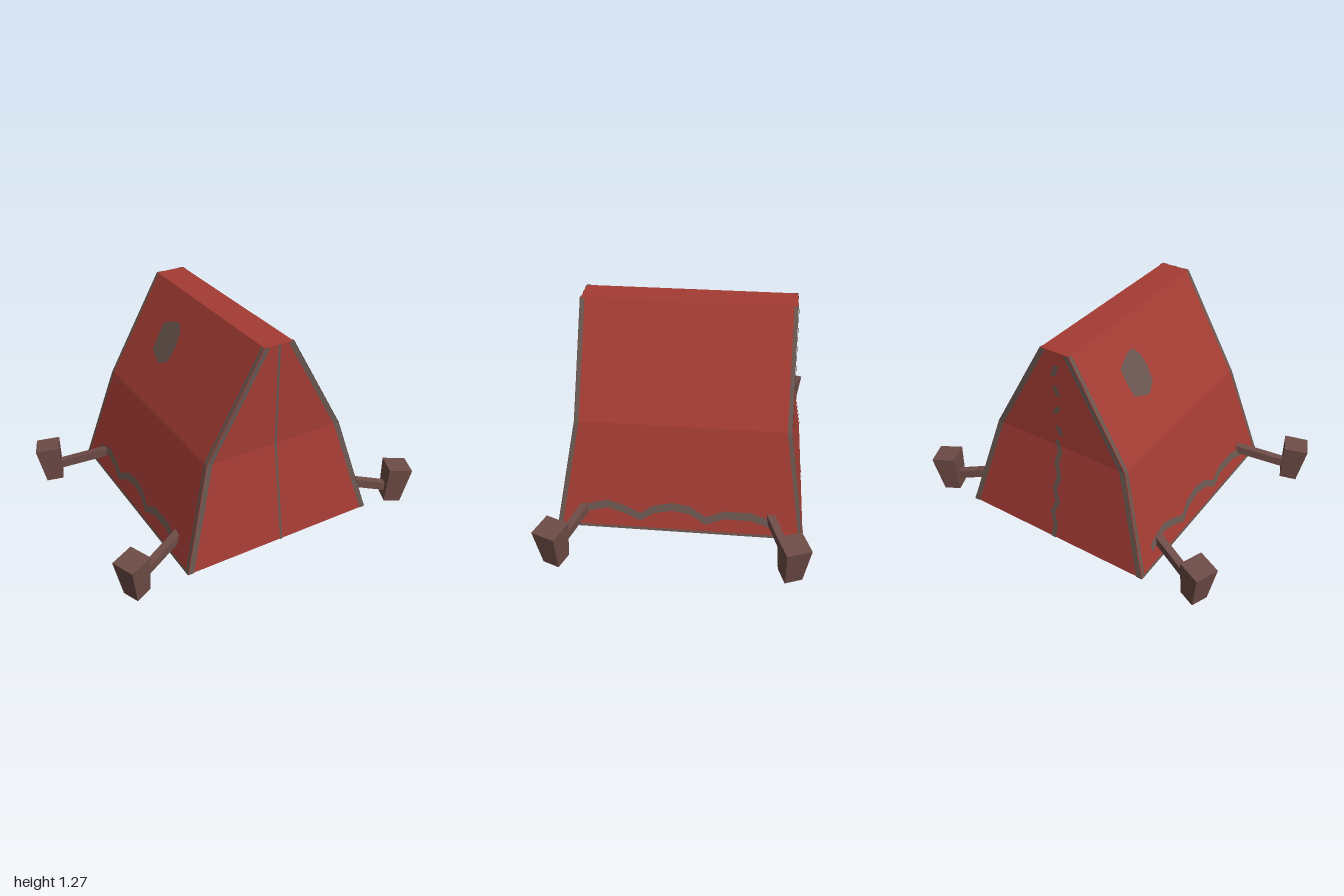
import * as THREE from 'three';

const CX = 0.015, CZ = -0.022;
// Tent cross-sections: height, half width, half depth
const RINGS = [[0.05, 0.615, 0.7125], [0.66, 0.4375, 0.615], [1.27, 0.09, 0.615]];

// Half width (k = 1) or half depth (k = 2) at height y
function half(y, k) {
  const i = y < 0.66 ? 0 : 1;
  const a = RINGS[i], b = RINGS[i + 1];
  return a[k] + (b[k] - a[k]) * (y - a[0]) / (b[0] - a[0]);
}

// Walls map (u along the wall, height, outward offset) to a point
const slope = s => (u, y, off) => [CX + s * (half(y, 1) + off), y, CZ + s * u];
const gable = s => (u, y, off) => [CX + s * u, y, CZ + s * (half(y, 2) + off)];

// Strip of quads between pairs of wall points
function strip(wall, pairs, off) {
  const pos = [];
  for (let i = 0; i + 1 < pairs.length; i++) {
    const [a, b] = pairs[i], [d, c] = pairs[i + 1];
    for (const p of [a, b, c, a, c, d]) pos.push(...wall(p[0], p[1], off));
  }
  const g = new THREE.BufferGeometry();
  g.setAttribute('position', new THREE.Float32BufferAttribute(pos, 3));
  g.computeVertexNormals();
  return g;
}

export function createModel() {
  const model = new THREE.Group();
  model.name = 'tent';
  const both = THREE.DoubleSide;
  const red = new THREE.MeshStandardMaterial({ color: 0xa33b33, side: both });
  red.name = 'red canvas';
  const grey = new THREE.MeshStandardMaterial({ color: 0x69564f, side: both });
  grey.name = 'grey trim';
  const wood = new THREE.MeshStandardMaterial({ color: 0x6e4c47 });
  wood.name = 'brown wood';

  const add = (name, geometry, material, parent = model) => {
    const m = new THREE.Mesh(geometry, material);
    m.name = name;
    parent.add(m);
    return m;
  };
  // Painted detail, seen from outside and inside the canvas
  const paint = (name, wall, pairs) => {
    for (const off of [0.004, -0.004]) add(name, strip(wall, pairs, off), grey);
  };

  // Canvas walls with trimmed edges; the underside is open
  for (const s of [1, -1]) {
    for (const [name, wall, k, trim] of [['slope', slope(s), 2, 0.024], ['gable', gable(s), 1, 0.034]]) {
      add(name + 'Wall', strip(wall, RINGS.map(r => [[-r[k], r[0]], [r[k], r[0]]]), 0), red);
      for (const e of [1, -1]) {
        paint(name + 'EdgeTrim', wall, RINGS.map(r => [[e * r[k], r[0]], [e * (r[k] - trim), r[0]]]));
      }
    }
    // Hem and wavy stain along the foot of each slope
    const h = RINGS[0][2];
    paint('hem', slope(s), [[[-h, 0.05], [-h, 0.065]], [[h, 0.05], [h, 0.065]]]);
    const wave = [[0.57, 0.15], [0.5, 0.175], [0.42, 0.192], [0.32, 0.165], [0.23, 0.125], [0.15, 0.175],
      [0.04, 0.197], [-0.06, 0.18], [-0.15, 0.125], [-0.25, 0.165], [-0.41, 0.165], [-0.54, 0.125]];
    paint('wavyStain', slope(s), wave.map(([u, y]) => [[u, y - 0.023], [u, y + 0.023]]));
  }
  const ridge = add('ridge', new THREE.PlaneGeometry(0.18, 1.23), red);
  ridge.rotation.x = -Math.PI / 2;
  ridge.position.set(CX, 1.27, CZ);

  // Front seam
  paint('frontSeam', gable(1), RINGS.map(r => [[-0.008, r[0]], [0.008, r[0]]]));

  // Ragged tear up the back: one long run and loose scraps above it
  const runs = [
    [[0, 0.05], [0.01, 0.14], [-0.015, 0.22], [0.015, 0.3], [-0.012, 0.38], [0.015, 0.46], [-0.01, 0.55], [0.01, 0.62], [0, 0.66], [-0.01, 0.7]],
    [[0.02, 0.74], [0, 0.8]], [[-0.015, 0.88], [0.012, 0.93]], [[0.012, 1.0], [-0.01, 1.06]], [[-0.015, 1.12], [0.012, 1.19]],
  ];
  for (const run of runs) paint('backTear', gable(-1), run.map(([u, y]) => [[u - 0.016, y], [u + 0.016, y]]));

  // Patch on the upper right slope
  const patch = [[0.885, 0.17, 0.2], [0.922, 0.11, 0.3], [0.998, 0.095, 0.31], [1.073, 0.11, 0.31], [1.12, 0.15, 0.2]];
  paint('patch', slope(-1), patch.map(([y, a, b]) => [[a, y], [b, y]]));

  // Tapered stakes leaning outward, each tied to the tent by a bar
  const pegShape = new THREE.CylinderGeometry(0.1025, 0.073, 0.24, 4, 1).toNonIndexed();
  pegShape.rotateY(Math.PI / 4);
  pegShape.computeVertexNormals();
  for (const [x, z] of [[0.888, 0.655], [0.888, -0.668], [-0.892, 0.625], [-0.892, -0.645]]) {
    const stake = new THREE.Group();
    stake.name = 'stake';
    stake.position.set(x, 0, z);
    // local +x points away from the tent
    stake.rotation.y = Math.atan2(-z * 0.38 / Math.abs(z), x / Math.abs(x) * 0.925);
    const peg = add('peg', pegShape, wood, stake);
    peg.position.y = 0.126;
    peg.rotation.z = -0.115;
    const bar = add('bar', new THREE.BoxGeometry(0.38, 0.052, 0.045), wood, stake);
    bar.position.set(-0.2, 0.13, 0);
    bar.rotation.z = -0.22;
    model.add(stake);
  }
  return model;
}
